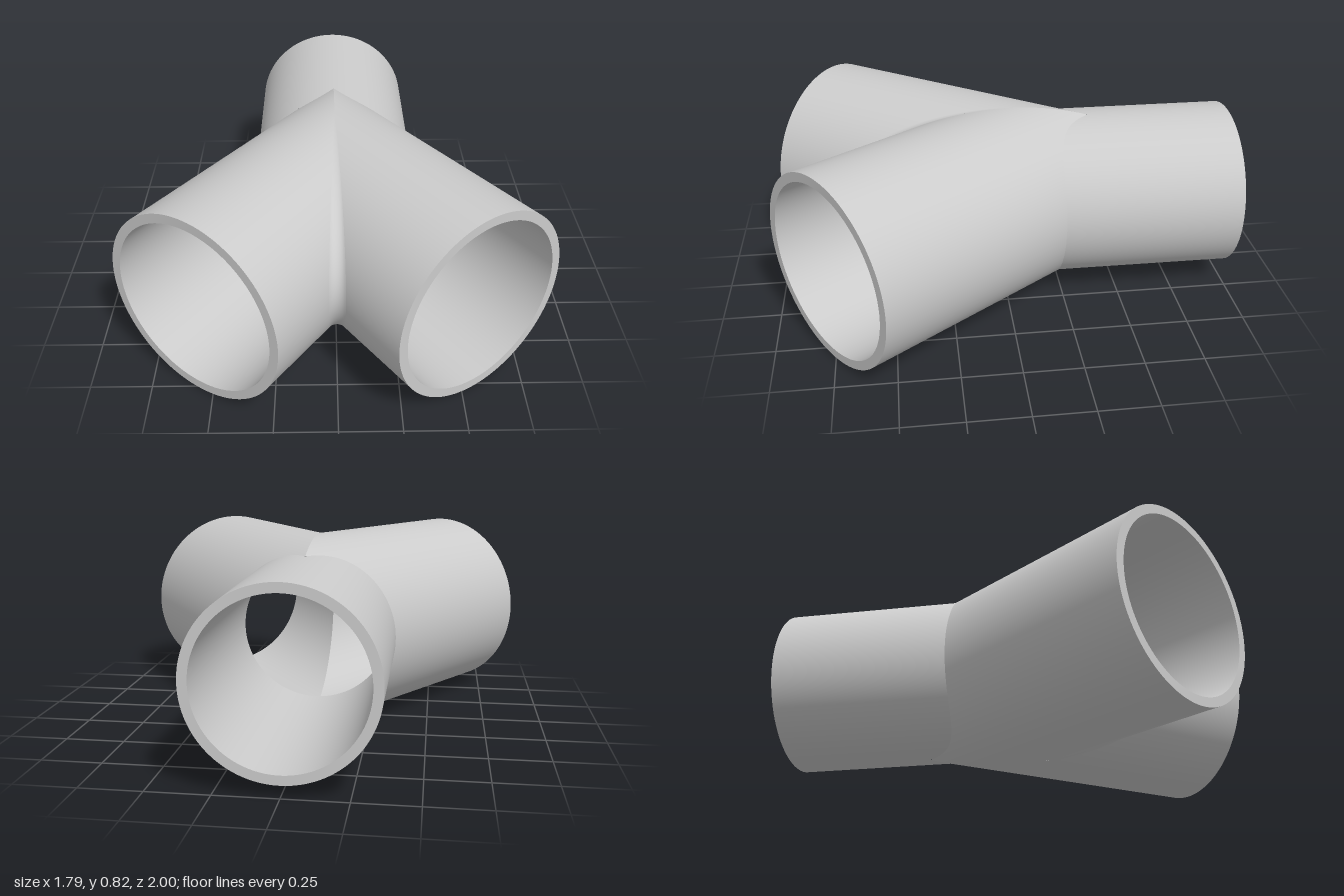
import * as THREE from 'three';

const Y0 = 0.4125, Z0 = -0.033;          // point where the three axes meet
const R = 0.4125, RI = 0.373, L = 0.968; // branch outer radius, bore, length
const B = 0.363, BI = 0.325;             // stem outer radius, bore
const ANG = THREE.MathUtils.degToRad(35);
const S = Math.sin(ANG), C = Math.cos(ANG);
const FILLET = 0.04, N = 192, TAU = Math.PI * 2;

const material = new THREE.MeshStandardMaterial({ color: 0xcccccc });

// Grid surface p(angle, t); its front side is (t direction) x (angle direction)
function surface(name, p, { from = 0, to = TAU, nv = 1, flip = false } = {}) {
  const closed = to - from > 6.28, rows = closed ? N : N + 1;
  const pos = [], idx = [];
  for (let i = 0; i < rows; i++)
    for (let j = 0; j <= nv; j++) pos.push(...p(from + (to - from) * i / N, j / nv));
  for (let i = 0; i < N; i++)
    for (let j = 0; j < nv; j++) {
      const a = i * (nv + 1) + j, b = a + 1;
      const c = ((i + 1) % rows) * (nv + 1) + j, d = c + 1;
      if (flip) idx.push(a, c, b, b, c, d);
      else idx.push(a, b, c, b, d, c);
    }
  const g = new THREE.BufferGeometry();
  g.setAttribute('position', new THREE.Float32BufferAttribute(pos, 3));
  g.setIndex(idx);
  g.computeVertexNormals();
  const mesh = new THREE.Mesh(g, material);
  mesh.name = name;
  return mesh;
}

// Ruled surface between two curves
const between = (f, g) => (a, t) => {
  const p = f(a), q = g(a);
  return p.map((v, k) => v + (q[k] - v) * t);
};

// Point on a branch: distance s along its axis, radius r, angle a (0 faces the crotch)
const branchPoint = (m, s, r, a) => [
  m * (S * s - C * r * Math.cos(a)),
  Y0 + r * Math.sin(a),
  Z0 + C * s + S * r * Math.cos(a),
];

// Outer wall begins at the crotch fillet, the middle plane or the stem surface
function outerStart(a) {
  const c = Math.cos(a), dy = R * Math.sin(a);
  const x = c > 0 ? FILLET * c * C : Math.sqrt(Math.max(0, B * B - dy * dy));
  const edge = c > 0 || Math.abs(dy) < B ? x : 0;
  return (edge + C * R * c) / S;
}

// Bore begins at the middle plane, or at the flat shoulder on the outer side
function boreStart(a) {
  const c = Math.cos(a);
  return c > 0 ? C * RI * c / S : -S * RI * c / C;
}

function branch(m, name) {
  const g = new THREE.Group();
  g.name = name;
  const outerEnd = a => branchPoint(m, L, R, a);
  const boreEnd = a => branchPoint(m, L, RI, a);
  const o = { flip: m < 0 };
  g.add(
    surface(name + 'Wall', between(a => branchPoint(m, outerStart(a), R, a), outerEnd), o),
    surface(name + 'Bore', between(boreEnd, a => branchPoint(m, boreStart(a), RI, a)), o),
    surface(name + 'Rim', between(outerEnd, boreEnd), o),
  );
  return g;
}

function stem() {
  const g = new THREE.Group();
  g.name = 'stem';
  const ring = (rx, ry, z) => a => [rx * Math.cos(a), Y0 + ry * Math.sin(a), z];
  // Outer wall starts along the curve where the branches cross it
  const start = a => {
    const x = B * Math.cos(a), dy = B * Math.sin(a);
    const z = Z0 - Math.sqrt(R * R - dy * dy) / S + Math.abs(x) * C / S;
    return [x, Y0 + dy, z];
  };
  g.add(
    surface('stemWall', between(start, ring(B, B, -1))),
    surface('stemBore', between(ring(BI, BI, -1), ring(BI, BI, Z0))),
    surface('stemRim', between(ring(B, B, -1), ring(BI, BI, -1))),
    // flat step from the stem bore out to the wider branch bores
    surface('boreShoulder', between(ring(BI, BI, Z0), ring(RI / C, RI, Z0))),
  );
  return g;
}

// Rounded valley between the two branches
function crotchFillet() {
  const half = Math.PI / 2 - ANG;
  return surface('crotchFillet', (a, t) => {
    const c = Math.cos(a), r = FILLET * c, w = (2 * t - 1) * half;
    return [r * Math.sin(w), Y0 + R * Math.sin(a), Z0 + (R * c + r) / S - r * Math.cos(w)];
  }, { from: -1.56, to: 1.56, nv: 10 });
}

export function createModel() {
  const model = new THREE.Group();
  model.name = 'pipeJunction';
  model.add(branch(1, 'leftBranch'), branch(-1, 'rightBranch'), stem(), crotchFillet());
  return model;
}
